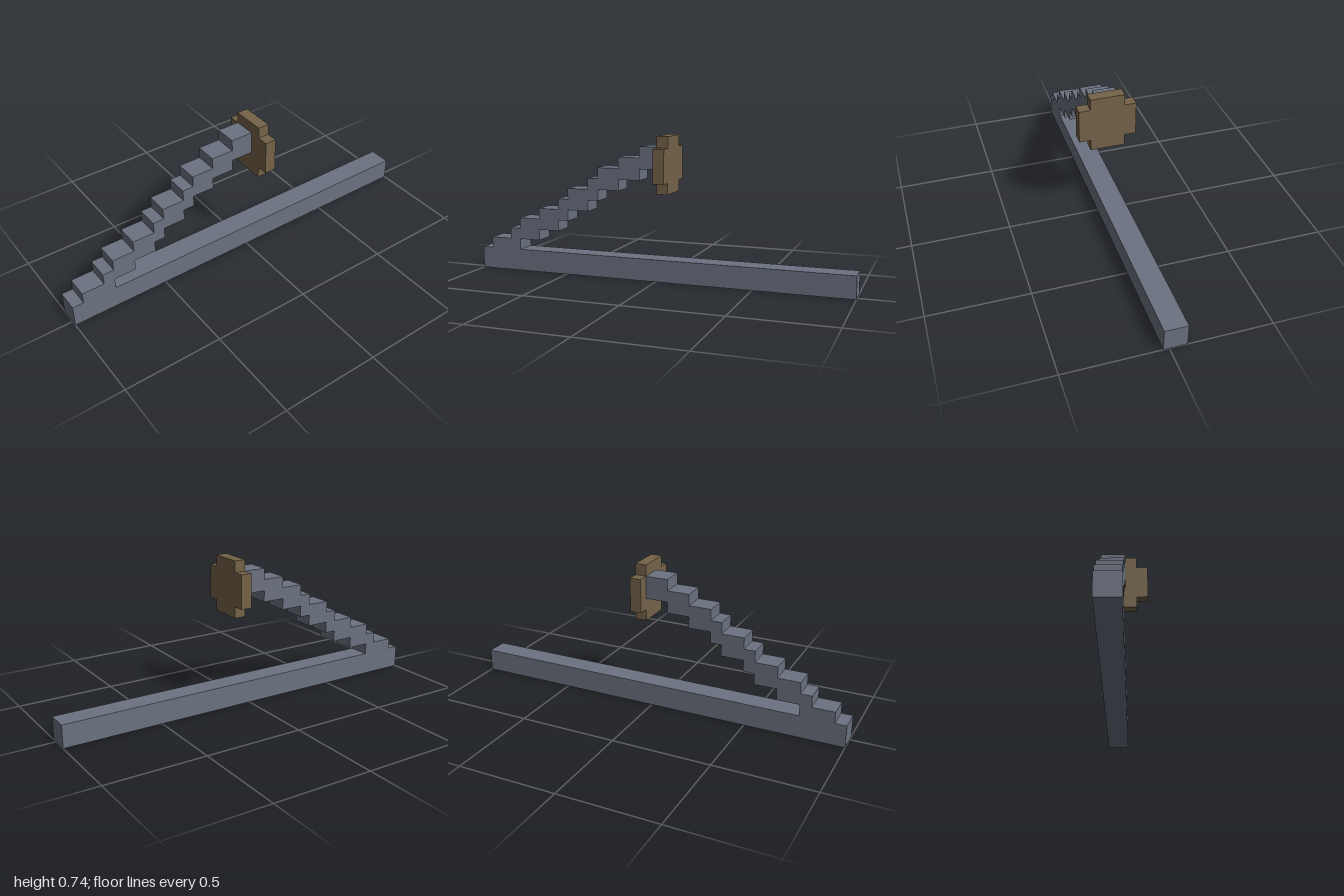
import * as THREE from 'three';

const U = 2 / 35; // one grid cell

// Extrude an outline given in grid cells
function extrudeCells(points, depth) {
  const shape = new THREE.Shape(points.map(([x, y]) => new THREE.Vector2(x * U, y * U)));
  return new THREE.ExtrudeGeometry(shape, { depth: depth * U, bevelEnabled: false });
}

export function createModel() {
  const group = new THREE.Group();
  const steel = new THREE.MeshStandardMaterial({ color: 0x6b7280 });
  steel.name = 'slate grey';
  const wood = new THREE.MeshStandardMaterial({ color: 0x756349 });
  wood.name = 'brown';

  const add = (name, geometry, material) => {
    const mesh = new THREE.Mesh(geometry, material);
    mesh.name = name;
    group.add(mesh);
    return mesh;
  };

  // Long base bar
  add('baseBar', new THREE.BoxGeometry(35 * U, 2 * U, 2 * U), steel).position.set(0, U, -0.5 * U);

  // Stepped arm: [start, end] of each row of cells, from the bar upwards
  const rows = [[1, 4], [3, 6], [4, 8], [6, 9], [8, 11], [9, 12], [11, 14], [12, 16], [14, 18], [16, 18]];
  const right = [], left = [];
  rows.forEach(([start, end], i) => {
    const y = i + 2;
    right.push([end, y], [end, y + 1]);
    left.push([start, y], [start, y + 1]);
  });
  // The last two rows end flush, so drop their shared corner
  right.splice(-3, 2);
  const arm = add('steppedArm', extrudeCells([...right, ...left.reverse()], 2), steel);
  arm.position.set(-1, 0, -1.5 * U);

  // Notched pad at the end of the arm, facing +x
  const quarter = [[2.5, 1.5], [1.5, 1.5], [1.5, 2.5]];
  const flip = (sx, sy) => quarter.map(([x, y]) => [x * sx, y * sy]);
  const outline = [
    ...flip(1, 1), ...flip(-1, 1).reverse(),
    ...flip(-1, -1), ...flip(1, -1).reverse(),
  ];
  const pad = add('pad', extrudeCells(outline, 1), wood);
  pad.rotation.y = Math.PI / 2;
  pad.position.set(-1 + 18 * U, 10.5 * U, 0);

  return group;
}
